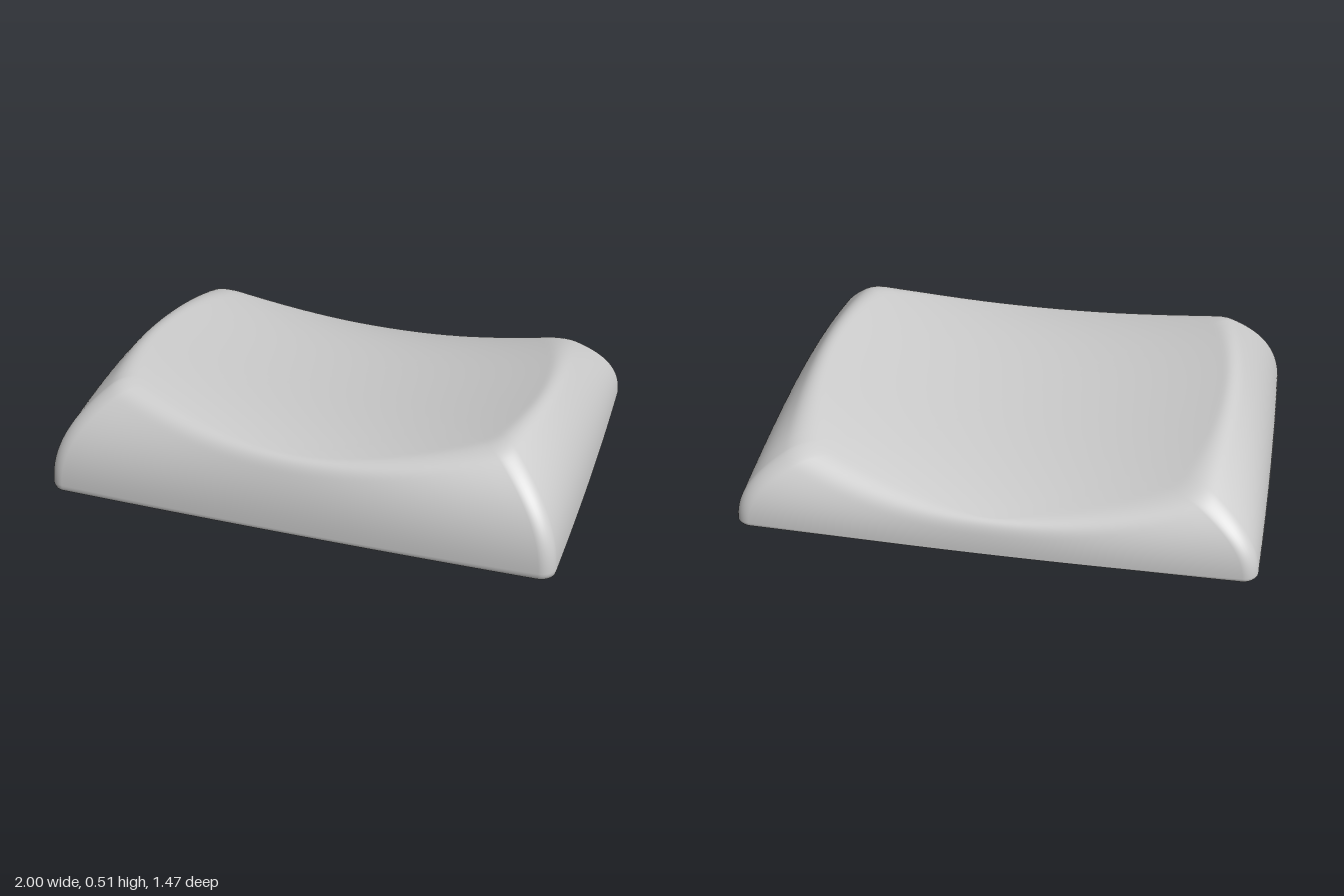
import * as THREE from 'three';

const material = new THREE.MeshStandardMaterial({ color: 0xcccccc, side: THREE.DoubleSide });
const WIDTH = 1, DEPTH = 0.735, BASE = 0.097;

// Scooped top surface, and the softer ceiling beneath it
const dish = (x, z) => 0.384 + 0.108 * z - 0.04 * z * z - 0.2 * z ** 4 + (0.165 + 0.08 * z * z) * x * x;
const ceiling = (x, z) => 0.24 + 0.5 * (dish(x, z) - dish(0, 0));

// Smooth minimum, rounds the edge where two surfaces meet
function softMin(a, b, k) {
  const h = Math.max(k - Math.abs(a - b), 0) / k;
  return Math.min(a, b) - h * h * k * 0.25;
}

// Ring of [x, y, z]: rounded rectangle with slightly bowed sides, inset by d
function ring(d, y, r = 0.055, side = 24, arc = 8) {
  const hx = WIDTH - d, hz = DEPTH - d;
  const corners = [[1, 1], [-1, 1], [-1, -1], [1, -1]].map(([sx, sz], q) =>
    Array.from({ length: arc + 1 }, (_, i) => {
      const a = (q + i / arc) * Math.PI / 2;
      return [sx * (hx - r) + r * Math.cos(a), sz * (hz - r) + r * Math.sin(a)];
    }));
  const flat = corners.flatMap((pts, q) => {
    const [x0, z0] = pts[arc], [x1, z1] = corners[(q + 1) % 4][0];
    const edge = [];
    for (let i = 1; i < side; i++) {
      edge.push([x0 + (x1 - x0) * i / side, z0 + (z1 - z0) * i / side]);
    }
    return [...pts, ...edge];
  });
  return flat.map(([x, z]) => [x * (1 - 0.01 * (z / hz) ** 2), y, z * (1 - 0.014 * (x / hx) ** 2)]);
}

// Shrink a ring to the centre in steps, at height y
function closing(points, steps, y) {
  return Array.from({ length: steps }, (_, i) => {
    const s = 1 - (i + 1) / steps;
    return points.map(p => [p[0] * s, y, p[2] * s]);
  });
}

// Hold rings below a limiting surface
const capped = (rings, limit, k) =>
  rings.map(points => points.map(([x, y, z]) => [x, softMin(y, limit(x, z), k), z]));

// Skin a list of rings with equal point counts
function loft(rings) {
  const n = rings[0].length, index = [];
  for (let i = 1; i < rings.length; i++) {
    for (let j = 0; j < n; j++) {
      const a = (i - 1) * n + j, b = (i - 1) * n + (j + 1) % n;
      index.push(a, a + n, b, b, a + n, b + n);
    }
  }
  const geo = new THREE.BufferGeometry();
  geo.setAttribute('position', new THREE.Float32BufferAttribute(rings.flat(2), 3));
  geo.setIndex(index);
  geo.computeVertexNormals();
  return geo;
}

// Where a point of the foot arrives on the bowed rim of the dish
function crest(x, z) {
  const u = x / WIDTH, w = z / DEPTH;
  return [u * (0.825 - 0.075 * w * w), w * (z > 0 ? 0.675 - 0.145 * u * u : 0.715 - 0.115 * u * u)];
}

function outerShell() {
  const foot = ring(0, BASE), steps = 54, reach = 1.35;
  const rings = [ring(0.015, BASE), ring(0.004, BASE + 0.006)];
  // Walls curve inward from the foot and run on past the crest under the dish limit
  for (let i = 2; i <= steps; i++) {
    const v = reach * i / steps, inward = v ** 2.4;
    rings.push(foot.map(([x, y, z]) => {
      const [tx, tz] = crest(x, z);
      return [x + (tx - x) * inward, y + (dish(tx, tz) - y) * v, z + (tz - z) * inward];
    }));
  }
  rings.push(...closing(rings[steps], 16, 1));
  return loft(capped(rings, dish, 0.045));
}

function cavity() {
  // Inset and height from the opening up past the ceiling
  const curve = new THREE.SplineCurve([[0.1, BASE], [0.115, 0.15], [0.15, 0.21], [0.22, 0.27], [0.34, 0.33], [0.42, 0.36]]
    .map(p => new THREE.Vector2(...p)));
  const wall = curve.getPoints(24).map(p => ring(p.x, p.y));
  const rings = [...wall, ...closing(wall[24], 8, 0.4)];
  // Listed from the centre outwards so the skin faces down
  return loft(capped(rings, ceiling, 0.07).reverse());
}

// Plus-shaped socket opening
function crossPath(a, b) {
  const pts = [];
  for (let q = 0; q < 4; q++) {
    const c = Math.round(Math.cos(q * Math.PI / 2)), s = Math.round(Math.sin(q * Math.PI / 2));
    for (const [x, y] of [[a, -b], [a, b], [b, b]]) {
      pts.push(new THREE.Vector2(x * c - y * s, x * s + y * c));
    }
  }
  return new THREE.Path(pts.reverse());
}

export function createModel() {
  const group = new THREE.Group();
  const add = (name, geo, parent = group, y = 0) => {
    const mesh = new THREE.Mesh(geo, material);
    mesh.name = name;
    mesh.position.y = y;
    parent.add(mesh);
  };

  add('outerShell', outerShell());
  add('bottomRim', loft([ring(0.1, BASE), ring(0.015, BASE)]));
  add('innerCavity', cavity());

  // Round stem with a chamfered foot and cross socket
  const stem = new THREE.Group();
  stem.name = 'stem';
  group.add(stem);
  const top = 0.25, chamfer = 0.02, radius = 0.25;
  const shape = new THREE.Shape().absarc(0, 0, radius - chamfer, 0, Math.PI * 2);
  shape.holes.push(crossPath(0.2, 0.06));
  const core = new THREE.ExtrudeGeometry(shape, { depth: top, bevelEnabled: false, curveSegments: 24 });
  add('stemSocket', core.rotateX(-Math.PI / 2), stem);
  add('stemChamfer', new THREE.CylinderGeometry(radius, radius - chamfer, chamfer, 48, 1, true), stem, chamfer / 2);
  add('stemWall', new THREE.CylinderGeometry(radius, radius, top - chamfer, 48, 1, true), stem, (top + chamfer) / 2);

  return group;
}
